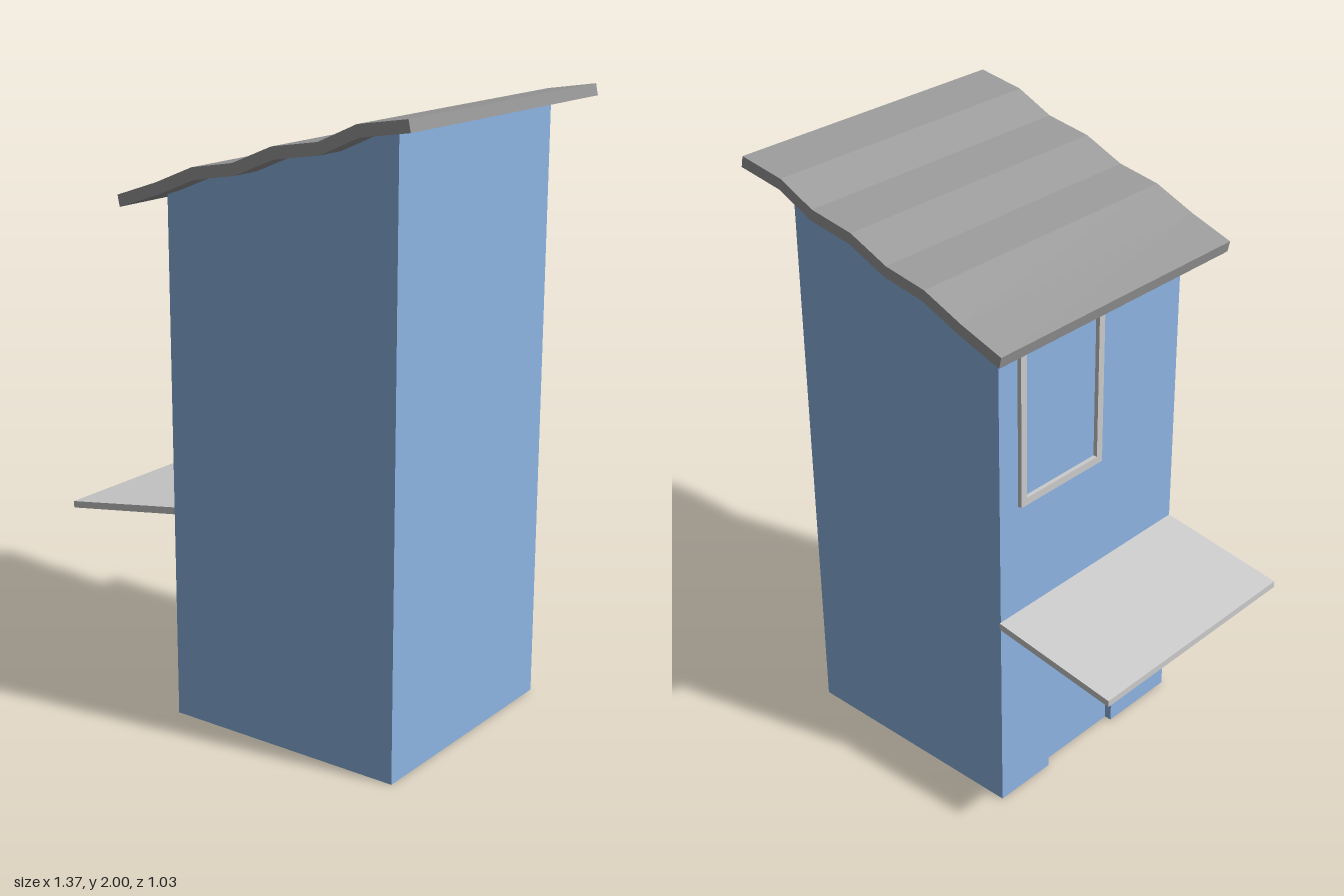
import * as THREE from 'three';

const BLUE = 0x8db4e2, GREY = 0xcccccc, ROOF = 0x999999;

function part(name, geometry, color) {
  const mesh = new THREE.Mesh(geometry, new THREE.MeshStandardMaterial({ color }));
  mesh.name = name;
  return mesh;
}

const shapeOf = pts => new THREE.Shape(pts.map(p => new THREE.Vector2(...p)));

// Extrude an (x, y) outline along z from z0 to z1
function extrudeZ(pts, z0, z1) {
  return new THREE.ExtrudeGeometry(shapeOf(pts), { depth: z1 - z0, bevelEnabled: false }).translate(0, 0, z0);
}

// Extrude a (z, y) outline along x from x0 to x1
function extrudeX(shape, x0, x1) {
  // Shape x becomes +z and the depth runs toward -x
  return new THREE.ExtrudeGeometry(shape, { depth: x1 - x0, bevelEnabled: false })
    .rotateY(-Math.PI / 2).translate(x1, 0, 0);
}

export function createModel() {
  const group = new THREE.Group();
  group.name = 'towerHouse';

  // Rippled roof: upper line of the section, repeated lower for the underside
  const top = [[-0.36, 1.695], [-0.21, 1.746], [-0.07, 1.804], [0.08, 1.83],
    [0.22, 1.889], [0.38, 1.915], [0.51, 1.974], [0.675, 2.0]];
  const under = top.map(([x, y]) => [x + 0.008, y - 0.036]);
  group.add(part('roof', extrudeZ([...top, ...under.slice().reverse()], -0.515, 0.515), ROOF));

  // Body with its top following the roof's underside
  const inner = 0.025, xL = -0.25, xR = 0.58, zB = -0.41, zF = 0.415;
  const ceiling = under.slice(1, -1).map(([x, y]) => [x, y + 0.004]).reverse();
  group.add(part('body', extrudeZ(
    [[xL + inner, 0], [xR, 0], [xR, 1.945], ...ceiling, [xL + inner, 1.71]], zB, zF), BLUE));

  // Entrance wall, notched to leave a shallow doorway
  const d0 = -0.185, d1 = 0.135, doorTop = 0.58;
  group.add(part('entranceWall', extrudeX(shapeOf([[zB, 0], [d0, 0], [d0, doorTop],
    [d1, doorTop], [d1, 0], [zF, 0], [zF, 1.708], [zB, 1.708]]), xL, xL + inner), BLUE));

  // Window frame
  const w0 = -0.33, w1 = 0.04, y0 = 1.085, y1 = 1.63, b = 0.025;
  const frame = shapeOf([[w0, y0], [w1, y0], [w1, y1], [w0, y1]]);
  frame.holes.push(shapeOf([[w0 + b, y0 + b], [w0 + b, y1 - b], [w1 - b, y1 - b], [w1 - b, y0 + b]]));
  group.add(part('windowFrame', extrudeX(frame, -0.264, xL + 0.005), GREY));

  // Sloping awning over the doorway
  group.add(part('awning', extrudeZ(
    [[-0.685, 0.612], [xL, 0.68], [xL, 0.703], [-0.685, 0.634]], -0.415, 0.415), GREY));

  return group;
}
